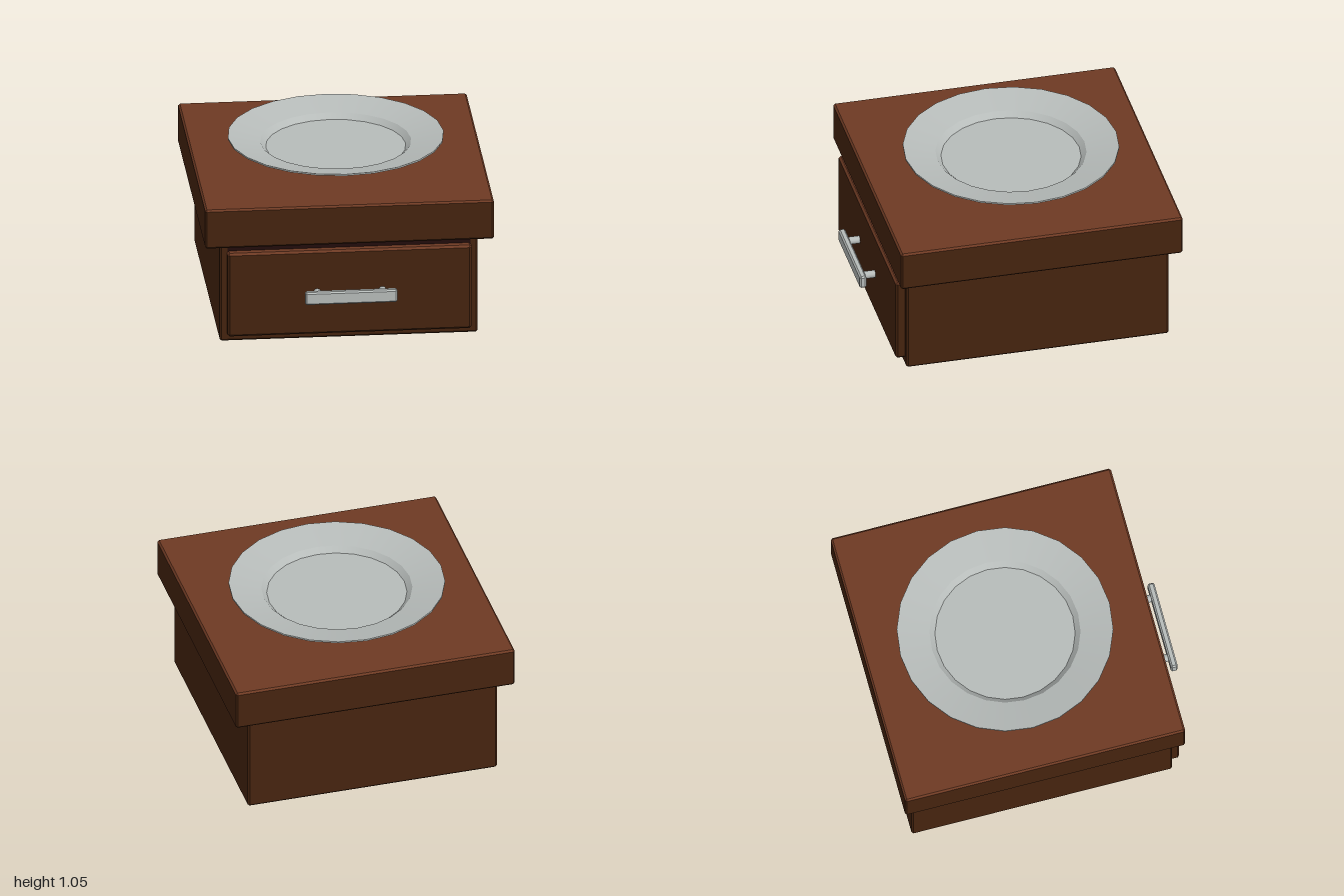
import * as THREE from 'three';
import { ConvexGeometry } from 'three/addons/geometries/ConvexGeometry.js';

const material = (name, color) => {
  const m = new THREE.MeshStandardMaterial({ color });
  m.name = name;
  return m;
};

// Box given by its limits, with chamfered edges. Faces are grouped as
// 0 = sides, 1 = facing up, 2 = facing down.
function chamferBox(name, [x0, x1], [y0, y1], [z0, z1], c, materials) {
  const points = [];
  for (const sx of [0, 1]) for (const sy of [0, 1]) for (const sz of [0, 1]) {
    const corner = [sx ? x1 : x0, sy ? y1 : y0, sz ? z1 : z0];
    const inward = [sx ? -c : c, sy ? -c : c, sz ? -c : c];
    for (let axis = 0; axis < 3; axis++) {
      points.push(new THREE.Vector3(...corner.map((v, i) => (i === axis ? v : v + inward[i]))));
    }
  }
  const geometry = new ConvexGeometry(points);
  const normals = geometry.attributes.normal;
  for (let i = 0; i < normals.count; i += 3) {
    const ny = normals.getY(i);
    geometry.addGroup(i, 3, ny > 0.3 ? 1 : ny < -0.9 ? 2 : 0);
  }
  const mesh = new THREE.Mesh(geometry, materials);
  mesh.name = name;
  return mesh;
}

export function createModel() {
  const wood = material('dark wood', 0x46240f);
  const woodTop = material('light wood', 0x6e3a23);
  const shade = material('deep maroon', 0x220c0b);
  const silver = material('silver', 0xb7bcba);
  const navy = material('navy glaze', 0x2a2545);

  const model = new THREE.Group();
  model.name = 'drawerBoxWithPlate';

  // Wooden case, overhanging lid and drawer front
  model.add(
    chamferBox('body', [-0.84, 0.84], [0, 0.7], [-0.93, 0.82], 0.012, [wood, woodTop, wood]),
    chamferBox('lid', [-0.94, 0.94], [0.67, 0.94], [-1, 0.88], 0.012, [wood, woodTop, shade]),
    chamferBox('drawer', [-0.795, 0.795], [0.05, 0.63], [0.8, 0.88], 0.014, [wood, woodTop, wood]),
  );

  // Dark gap above the drawer
  const gap = new THREE.Mesh(new THREE.BoxGeometry(1.58, 0.05, 0.006), shade);
  gap.name = 'drawerGap';
  gap.position.set(0, 0.645, 0.822);
  model.add(gap);

  // Handle: a bar on two posts
  const handle = new THREE.Group();
  handle.name = 'handle';
  handle.add(chamferBox('bar', [-0.3, 0.3], [0.3, 0.387], [0.955, 1], 0.01, [silver, silver, silver]));
  for (const side of [-1, 1]) {
    const post = new THREE.Mesh(new THREE.CylinderGeometry(0.025, 0.025, 0.1, 12), silver);
    post.name = 'post';
    post.rotation.x = Math.PI / 2;
    post.position.set(side * 0.212, 0.343, 0.915);
    handle.add(post);
  }
  model.add(handle);

  // Plate: bands from the underside centre, round the rim, to the well
  const plate = new THREE.Group();
  plate.name = 'plate';
  plate.position.z = -0.08;
  const profile = [
    [0, 0.957], [0.36, 0.957], [0.48, 0.966], [0.52, 1.002], [0.702, 1.044],
    [0.702, 1.055], [0.49, 1.01], [0.455, 0.975], [0, 0.975],
  ].map(([r, y]) => new THREE.Vector2(r, y));
  const bands = ['foot', 'base', 'baseWall', 'rimUnderside', 'rimEdge', 'rim', 'wellWall', 'well'];
  bands.forEach((name, i) => {
    const band = new THREE.Mesh(new THREE.LatheGeometry(profile.slice(i, i + 2), 24), i < 4 ? navy : silver);
    band.name = name;
    plate.add(band);
  });
  model.add(plate);

  return model;
}
